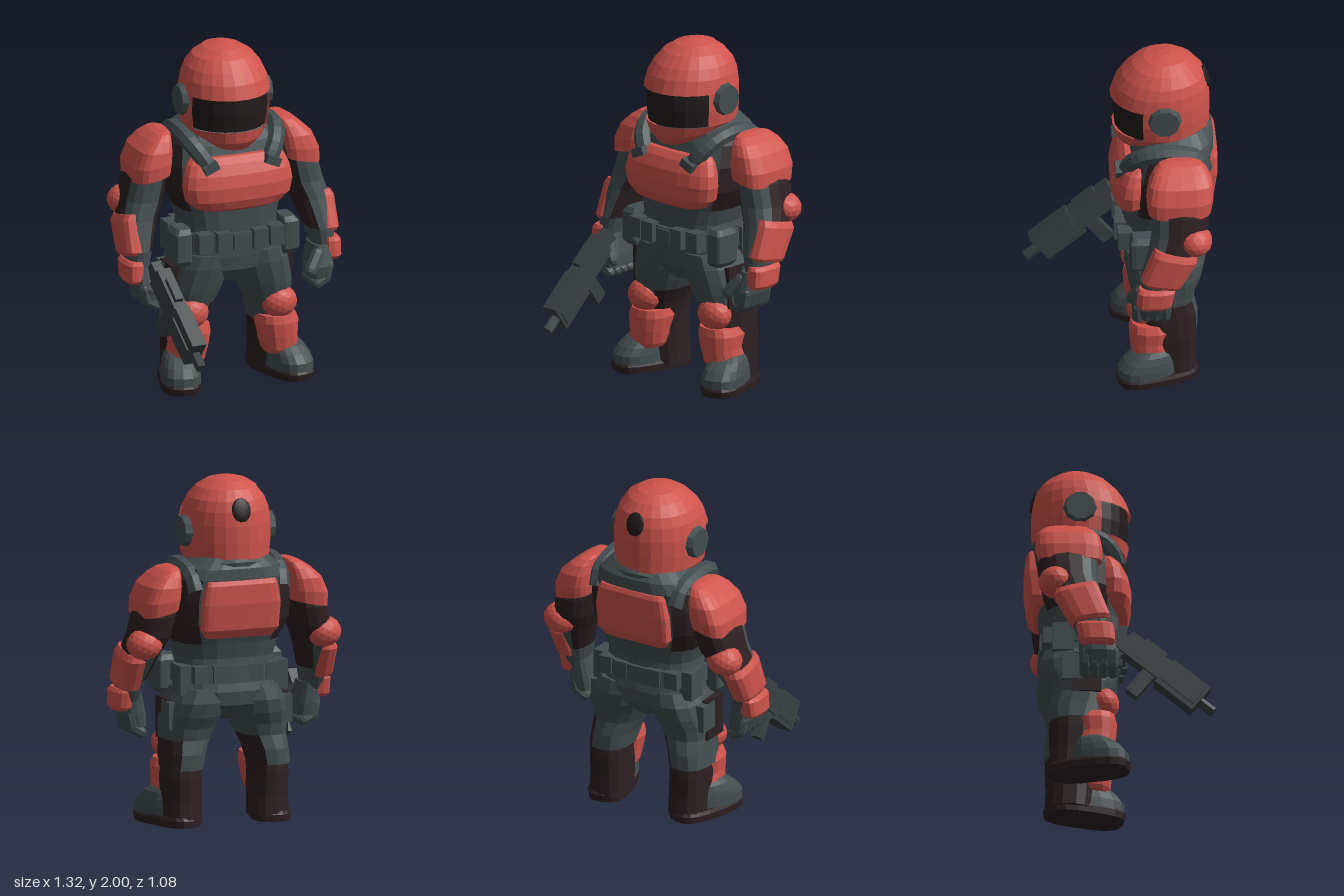
import * as THREE from 'three';

const mat = (name, color, side = THREE.FrontSide) => {
  const m = new THREE.MeshStandardMaterial({ color, side });
  m.name = name;
  return m;
};
const RED = mat('armourRed', 0xcf544c, THREE.DoubleSide);
const GREY = mat('suitGrey', 0x434e50);
const DARK = mat('bootDark', 0x2d2022);
const BLACK = mat('visorBlack', 0x221b1c);
const GUN = mat('gunGrey', 0x394143);

export function createModel() {
  const model = new THREE.Group();
  model.name = 'armouredTrooper';

  // Adds a faceted mesh
  function add(name, geo, material, parent = model) {
    const flat = geo.index ? geo.toNonIndexed() : geo;
    flat.computeVertexNormals();
    const mesh = new THREE.Mesh(flat, material);
    mesh.name = name;
    parent.add(mesh);
    return mesh;
  }

  // Stack of rounded sections, bottom to top: [x, y, halfWidth, zFront, zBack, slopeZ, slopeX]
  // pick(row, angle) gives a material index, or -1 for a hole
  function loft(name, secs, material, { n = 14, p = 2.4, off = 0, pick = () => 0, caps = true, parent } = {}) {
    const pos = [], lists = [[], []], e = 2 / p;
    const curve = v => Math.sign(v) * Math.abs(v) ** e;
    for (const [x, y, rx, zf, zb, tz = 0, tx = 0] of secs) {
      for (let j = 0; j < n; j++) {
        const a = off + j / n * Math.PI * 2;
        const dx = rx * curve(Math.sin(a)), dz = (zf - zb) / 2 * curve(Math.cos(a));
        pos.push(x + dx, y + tz * dz + tx * dx, (zf + zb) / 2 + dz);
      }
    }
    const rows = secs.length;
    for (const s of [secs[0], secs[rows - 1]]) pos.push(s[0], s[1], (s[3] + s[4]) / 2);
    for (let j = 0; j < n; j++) {
      const k = (j + 1) % n, top = (rows - 1) * n, mid = off + (j + 0.5) / n * Math.PI * 2;
      for (let i = 0; i < rows - 1; i++) {
        const m = pick(i, mid);
        if (m < 0) continue;
        const a = i * n + j, b = i * n + k;
        lists[m].push(a, b, b + n, a, b + n, a + n);
      }
      if (caps) lists[0].push(rows * n, k, j, rows * n + 1, top + j, top + k);
    }
    const geo = new THREE.BufferGeometry();
    geo.setAttribute('position', new THREE.Float32BufferAttribute(pos, 3));
    geo.setIndex([...lists[0], ...lists[1]]);
    geo.addGroup(0, lists[0].length, 0);
    geo.addGroup(lists[0].length, lists[1].length, 1);
    return add(name, geo, material, parent);
  }

  const box = (name, c, s, material, parent) => {
    const m = add(name, new THREE.BoxGeometry(...s), material, parent);
    m.position.set(...c);
    return m;
  };
  const ball = (name, c, s, material) => {
    const m = add(name, new THREE.IcosahedronGeometry(1, 2), material);
    m.position.set(...c);
    m.scale.set(...s);
    return m;
  };
  // Rounded rod between two points
  const rod = (name, a, b, r, material) => {
    const p = new THREE.Vector3(...a), q = new THREE.Vector3(...b), d = q.clone().sub(p);
    const m = add(name, new THREE.CapsuleGeometry(r, d.length(), 3, 7), material);
    m.position.copy(p).add(q).multiplyScalar(0.5);
    m.quaternion.setFromUnitVectors(new THREE.Vector3(0, 1, 0), d.normalize());
  };

  // Helmet shell with visor opening
  const hx = -0.012;
  const shell = [
    [hx, 1.51, 0.175, 0.008, -0.45, -0.38], [hx, 1.515, 0.22, 0.045, -0.485, -0.15],
    [hx, 1.545, 0.246, 0.058, -0.497], [hx, 1.64, 0.257, 0.066, -0.5],
    [hx, 1.74, 0.254, 0.063, -0.5], [hx, 1.82, 0.24, 0.035, -0.49],
    [hx, 1.88, 0.215, -0.005, -0.47], [hx, 1.94, 0.168, -0.065, -0.42],
    [hx, 1.98, 0.105, -0.13, -0.36], [hx, 2.0, 0.03, -0.21, -0.28]];
  const resize = (rows, d) => rows.map(([x, y, rx, f, b, t]) => [x, y, rx + d, f + d, b - d, t]);
  const inVisor = (i, a) => (i === 2 || i === 3) && Math.cos(a) > 0.38;
  const helm = { n: 24, p: 2.05, off: Math.PI / 24 };
  loft('helmet', shell, RED, { ...helm, pick: (i, a) => inVisor(i, a) ? -1 : 0 });
  loft('visor', resize(shell.slice(2, 6), -0.012), BLACK, helm);

  // Raised brow panel, rear vent and ear discs
  const panelEdge = [0.4, 0.2, 0, -0.4, -2];
  loft('browPanel', resize(shell.slice(4), 0.007), RED,
    { ...helm, caps: false, pick: (i, a) => Math.cos(a) > panelEdge[i] ? 0 : -1 });
  ball('helmetVent', [hx + 0.005, 1.833, -0.479], [0.058, 0.07, 0.017], BLACK).rotation.x = 0.29;
  for (const s of [-1, 1]) {
    const ear = add('earDisc', new THREE.CylinderGeometry(0.085, 0.1, 0.05, 10), GREY);
    ear.position.set(hx + s * 0.253, 1.69, -0.23);
    ear.rotation.z = -s * Math.PI / 2;
  }

  // Torso with dark flanks, chest and back armour
  const flank = (i, a) => i > 4 && i < 9 && Math.abs(Math.sin(a)) > (i === 8 ? 0.85 : 0.6) && Math.cos(a) < 0.6;
  loft('torso', [
    [0, 0.61, 0.06, -0.08, -0.38], [0, 0.7, 0.25, -0.01, -0.45], [0, 0.78, 0.31, 0.0, -0.46],
    [0, 0.86, 0.295, 0.0, -0.44], [0, 0.97, 0.285, 0.0, -0.43], [0, 1.06, 0.31, 0.0, -0.45],
    [0, 1.18, 0.365, 0.0, -0.49], [0, 1.32, 0.37, -0.02, -0.51], [0, 1.44, 0.345, -0.06, -0.52],
    [0, 1.5, 0.29, -0.09, -0.515], [0, 1.56, 0.2, -0.16, -0.47]], [GREY, DARK],
    { n: 20, p: 2.7, pick: (i, a) => flank(i, a) ? 1 : 0 });
  loft('chestPlate', [
    [0, 1.065, 0.19, 0.005, -0.11], [0, 1.09, 0.26, 0.05, -0.13], [0, 1.14, 0.318, 0.07, -0.15],
    [0, 1.22, 0.335, 0.072, -0.15], [0, 1.29, 0.325, 0.055, -0.15], [0, 1.35, 0.3, 0.025, -0.15],
    [0, 1.385, 0.27, -0.01, -0.15]], RED, { n: 20, p: 2.5 });
  loft('backPlate', [
    [0, 1.1, 0.2, -0.4, -0.485], [0, 1.15, 0.235, -0.4, -0.515], [0, 1.3, 0.24, -0.4, -0.537],
    [0, 1.41, 0.22, -0.4, -0.537], [0, 1.435, 0.21, -0.4, -0.525]], RED, { n: 16, p: 6 });
  const collar = add('collar', new THREE.TorusGeometry(0.2, 0.045, 6, 18), GREY);
  collar.rotation.x = Math.PI / 2 + 0.3;
  collar.position.set(0, 1.465, -0.28);

  // Belt with pouches
  loft('belt', [[0, 0.83, 0.315, 0.025, -0.46], [0, 0.93, 0.31, 0.025, -0.455]], GREY, { n: 20, p: 2.7 });
  box('buckle', [0, 0.88, 0.025], [0.1, 0.085, 0.03], GREY);
  for (const x of [-0.22, -0.11, 0.11, 0.22]) {
    box('frontPouch', [x, 0.89, 0.03 - 0.15 * Math.abs(x)], [0.085, 0.115, 0.08], GREY);
    box('rearPouch', [x, 0.885, -0.44 + 0.12 * Math.abs(x)], [0.085, 0.1, 0.06], GREY);
  }

  const stance = 0.014; // the legs stand slightly towards the left
  for (const s of [-1, 1]) {
    // Mirrors section lists to either side
    const side = (list, shift = 0) => list.map(([x, y, rx, f, b, tz = 0, tx = 0]) => [s * x + shift, y, rx, f, b, tz, s * tx]);

    // Shoulder strap and clip
    const path = new THREE.CatmullRomCurve3([[0.19, 1.345, -0.015], [0.235, 1.42, -0.045], [0.275, 1.485, -0.13],
      [0.28, 1.5, -0.27], [0.27, 1.46, -0.41], [0.26, 1.37, -0.46]].map(([x, y, z]) => new THREE.Vector3(s * x, y, z)));
    add('shoulderStrap', new THREE.TubeGeometry(path, 14, 0.05, 7), GREY);
    box('strapClip', [s * 0.19, 1.345, 0.025], [0.09, 0.05, 0.05], GREY).rotation.z = s * -0.4;

    // Hip and thigh pouches
    loft('hipPouch', side([[0.32, 0.75, 0.045, -0.04, -0.17], [0.33, 0.78, 0.055, -0.02, -0.19],
      [0.33, 0.94, 0.055, -0.02, -0.19], [0.32, 0.97, 0.04, -0.04, -0.17]]), GREY, { p: 5 });
    box('rearHipPouch', [s * 0.29, 0.85, -0.33], [0.08, 0.17, 0.12], GREY);
    box('thighHolster', [s * 0.345, 0.61, -0.2], [0.055, 0.24, 0.17], DARK);
    box('thighPouch', [s * 0.35, 0.64, -0.28], [0.06, 0.16, 0.12], GREY);

    // Shoulder pad
    loft('shoulderPad', side([[0.458, 1.255, 0.115, -0.115, -0.48, 0, -0.2], [0.452, 1.33, 0.118, -0.11, -0.495, 0, -0.1],
      [0.43, 1.41, 0.1, -0.125, -0.49], [0.4, 1.465, 0.07, -0.155, -0.465], [0.375, 1.498, 0.045, -0.19, -0.43],
      [0.36, 1.51, 0.025, -0.23, -0.38]]), RED, { n: 20, p: 3.2 });

    // Arm, dark on the inside and around the upper part
    const armDark = (i, a) => (i >= 3 && Math.cos(a) < 0.5) || (i === 2 && Math.cos(a) < 0.3)
      || (i >= 1 && Math.sin(a) * s < -0.55);
    loft('arm', side([[0.57, 0.72, 0.06, -0.07, -0.25], [0.56, 0.85, 0.08, -0.07, -0.31], [0.53, 1.02, 0.11, -0.12, -0.41],
      [0.492, 1.12, 0.118, -0.14, -0.46], [0.465, 1.24, 0.115, -0.14, -0.478], [0.42, 1.4, 0.1, -0.16, -0.45]]),
      [GREY, DARK], { n: 16, pick: (i, a) => armDark(i, a) ? 1 : 0 });
    ball('elbowPad', [s * 0.55, 1.08, -0.385], [0.105, 0.09, 0.097], RED);
    loft('forearmPlate', side([[0.588, 0.815, 0.064, -0.08, -0.3, 0.17], [0.59, 0.835, 0.072, -0.07, -0.31, 0.17],
      [0.586, 1.0, 0.074, -0.135, -0.395, 0.23], [0.58, 1.035, 0.06, -0.15, -0.39, 0.23]]), RED, { p: 3 });
    loft('wristPlate', side([[0.6, 0.67, 0.05, -0.06, -0.23], [0.605, 0.69, 0.058, -0.045, -0.25],
      [0.605, 0.78, 0.058, -0.05, -0.27], [0.6, 0.8, 0.045, -0.06, -0.265]]), RED, { p: 3 });

    // Gloved hand with curled fingers
    loft('palm', side([[0.52, 0.57, 0.06, -0.03, -0.24], [0.535, 0.64, 0.072, -0.02, -0.25],
      [0.55, 0.76, 0.06, -0.06, -0.25]]), GREY, { p: 3 });
    for (let i = 0; i < 4; i++) {
      const z = -0.055 - i * 0.053;
      rod('fingerBase', [s * 0.565, 0.64, z], [s * 0.55, 0.57, z], 0.034, GREY);
      rod('fingerTip', [s * 0.55, 0.57, z], [s * 0.5, 0.54, z], 0.032, GREY);
    }
    rod('thumb', [s * 0.51, 0.71, -0.07], [s * 0.45, 0.63, -0.03], 0.038, GREY);

    // Trouser leg, dark on its left below the knee
    loft('trouserLeg', side([[0.268, 0.33, 0.118, -0.1, -0.415], [0.255, 0.42, 0.123, -0.07, -0.415], [0.235, 0.5, 0.138, -0.05, -0.395],
      [0.22, 0.57, 0.158, -0.03, -0.41], [0.2, 0.64, 0.168, -0.015, -0.445], [0.18, 0.72, 0.17, 0.0, -0.465],
      [0.16, 0.8, 0.15, 0.0, -0.45]], stance * 0.6), [GREY, DARK],
      { pick: (i, a) => i < 2 && Math.sin(a) > 0.5 ? 1 : 0 });
    ball('kneePad', [s * 0.272 + stance * 0.6, 0.45, -0.095], [0.106, 0.095, 0.088], RED);
    loft('shinPlate', side([[0.285, 0.145, 0.09, -0.05, -0.26], [0.285, 0.17, 0.108, -0.035, -0.3], [0.275, 0.25, 0.113, -0.025, -0.26],
      [0.27, 0.33, 0.125, -0.02, -0.285], [0.265, 0.375, 0.11, -0.03, -0.26]], stance), RED);

    // Boot, with the foot turned outward
    loft('bootShaft', side([[0.265, 0.03, 0.115, -0.14, -0.41], [0.265, 0.15, 0.112, -0.13, -0.405],
      [0.268, 0.28, 0.112, -0.11, -0.41], [0.265, 0.35, 0.112, -0.11, -0.405]], stance), DARK);
    const foot = new THREE.Group();
    foot.name = 'foot';
    foot.position.set(s * 0.312 + stance, 0, -0.18);
    foot.rotation.y = s * 0.28;
    model.add(foot);
    loft('bootSole', [[0, 0, 0.116, 0.23, -0.235], [0, 0.04, 0.12, 0.24, -0.24],
      [0, 0.06, 0.11, 0.225, -0.225]], DARK, { n: 18, p: 3, parent: foot });
    loft('bootToe', [[0, 0.04, 0.114, 0.232, -0.12], [0, 0.1, 0.114, 0.23, -0.11],
      [0, 0.145, 0.108, 0.195, -0.1], [0, 0.185, 0.095, 0.145, -0.09],
      [0, 0.21, 0.075, 0.1, -0.07]], GREY, { n: 16, p: 2.6, parent: foot });
  }

  // Rifle in the right hand, barrel along local +z
  const rifle = new THREE.Group();
  rifle.name = 'rifle';
  rifle.position.set(-0.475, 0.55, 0.25);
  rifle.rotation.set(0.66, 0.09, 0, 'YXZ');
  model.add(rifle);
  for (const [name, c, s] of [
    ['handguard', [0, -0.005, 0.12], [0.09, 0.18, 0.27]],
    ['handguardSides', [0, -0.02, 0.12], [0.11, 0.09, 0.23]],
    ['receiver', [0, 0.0, -0.14], [0.085, 0.14, 0.32]],
    ['sight', [0, 0.075, -0.14], [0.05, 0.045, 0.15]],
    ['magazine', [0, -0.14, -0.075], [0.055, 0.19, 0.08]],
    ['stock', [-0.005, -0.015, -0.33], [0.06, 0.09, 0.1]],
    ['pistolGrip', [0, -0.13, -0.29], [0.045, 0.19, 0.06]]]) box(name, c, s, GUN, rifle);
  const muzzle = add('muzzle', new THREE.CylinderGeometry(0.032, 0.032, 0.12, 8), GUN, rifle);
  muzzle.rotation.x = Math.PI / 2;
  muzzle.position.set(0, -0.01, 0.29);

  return model;
}
